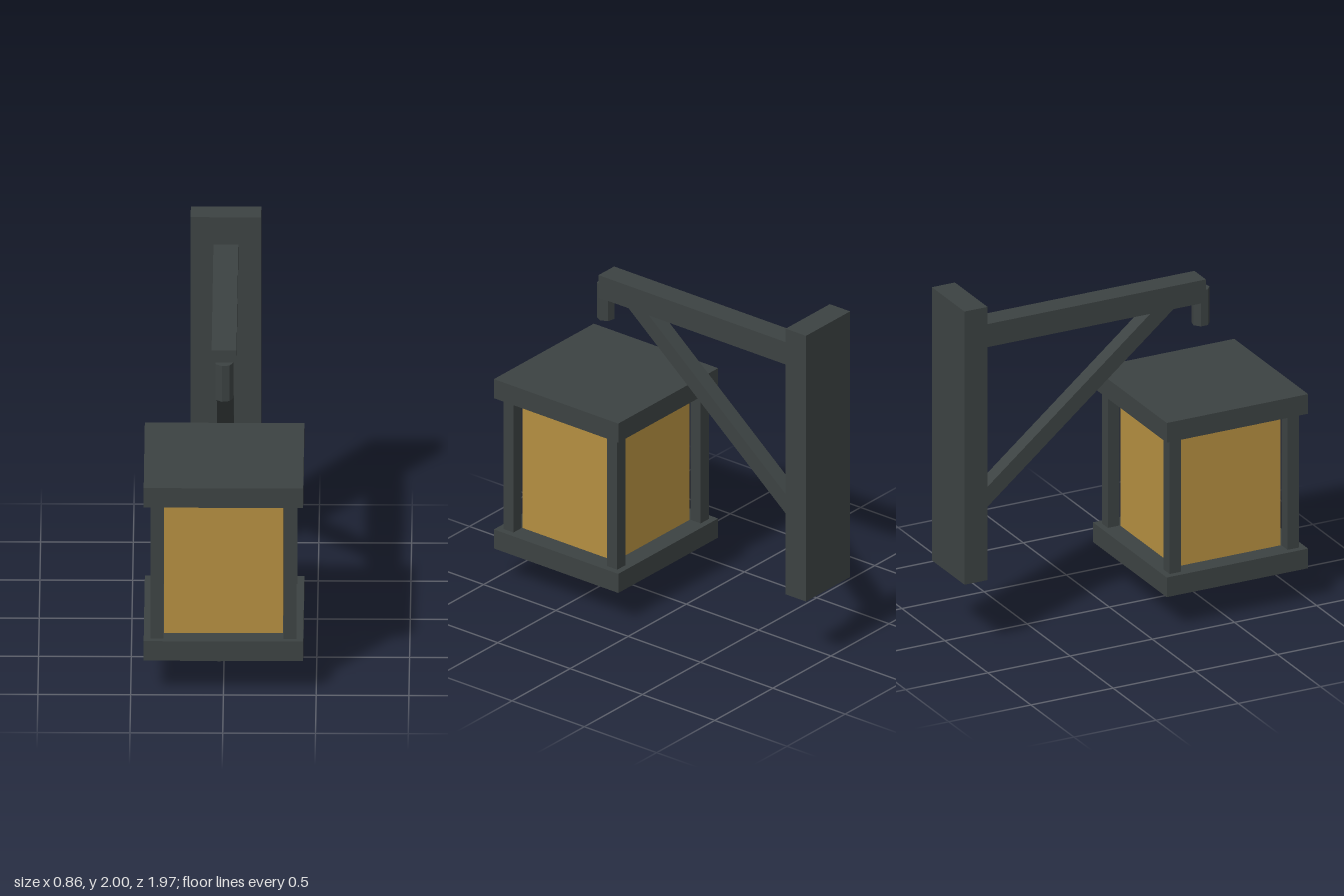
import * as THREE from 'three';

export function createModel() {
  const model = new THREE.Group();
  model.name = 'wallLantern';

  const iron = new THREE.MeshStandardMaterial({ color: 0x3c4242, flatShading: true });
  iron.name = 'dark iron';
  const amber = new THREE.MeshStandardMaterial({ color: 0xb48e40, flatShading: true });
  amber.name = 'amber glass';

  const add = (parent, name, geometry, material, x, y, z) => {
    const mesh = new THREE.Mesh(geometry, material);
    mesh.name = name;
    mesh.position.set(x, y, z);
    parent.add(mesh);
    return mesh;
  };
  // Box given by its width, its y range and its z range
  const bar = (parent, name, width, y0, y1, z0, z1, material = iron, x = 0) =>
    add(parent, name, new THREE.BoxGeometry(width, y1 - y0, z1 - z0), material,
      x, (y0 + y1) / 2, (z0 + z1) / 2);

  const SIDES = 7;
  const START = Math.PI / 2;
  const lanternZ = 0.555;

  // Wall bracket
  const bracket = new THREE.Group();
  bracket.name = 'bracket';
  model.add(bracket);
  bar(bracket, 'wallPlate', 0.38, 0.4, 2, -0.98, -0.84);
  bar(bracket, 'arm', 0.134, 1.705, 1.84, -0.85, 0.553);

  // Diagonal brace from the plate up into the arm
  const foot = new THREE.Vector2(-0.859, 0.74);
  const head = new THREE.Vector2(0.376, 1.76);
  const brace = add(bracket, 'brace',
    new THREE.BoxGeometry(0.09, foot.distanceTo(head), 0.09), iron,
    0, (foot.y + head.y) / 2, (foot.x + head.x) / 2);
  brace.rotation.x = Math.atan2(head.x - foot.x, head.y - foot.y);

  // Bolt heads on the plate
  for (const y of [0.617, 1.755]) {
    const bolt = add(bracket, 'bolt',
      new THREE.CylinderGeometry(0.065, 0.065, 0.023, SIDES, 1, false, START), iron, 0, y, -0.813);
    bolt.rotation.x = Math.PI / 2;
  }

  // Hanging peg at the end of the arm
  add(bracket, 'peg', new THREE.CylinderGeometry(0.05, 0.05, 0.21, SIDES, 1, false, START),
    iron, 0, 1.665, lanternZ);

  // Lantern
  const lantern = new THREE.Group();
  lantern.name = 'lantern';
  lantern.position.z = lanternZ;
  model.add(lantern);
  bar(lantern, 'roof', 0.86, 1.105, 1.22, -0.43, 0.43);
  bar(lantern, 'base', 0.86, 0.2, 0.315, -0.43, 0.43);
  bar(lantern, 'glass', 0.64, 0.315, 1.105, -0.32, 0.32, amber);
  for (const sx of [-1, 1]) {
    for (const sz of [-1, 1]) {
      const z = sz * 0.359;
      bar(lantern, 'cornerPost', 0.07, 0.31, 1.11, z - 0.035, z + 0.035, iron, sx * 0.359);
    }
  }

  // Faceted finial under the base
  const profile = [[0, 0.005], [0.14, 0.064], [0.128, 0.19], [0.12, 0.205]]
    .map(([r, y]) => new THREE.Vector2(r, y));
  add(lantern, 'finial', new THREE.LatheGeometry(profile, SIDES, START), iron, 0, 0, 0);

  return model;
}
